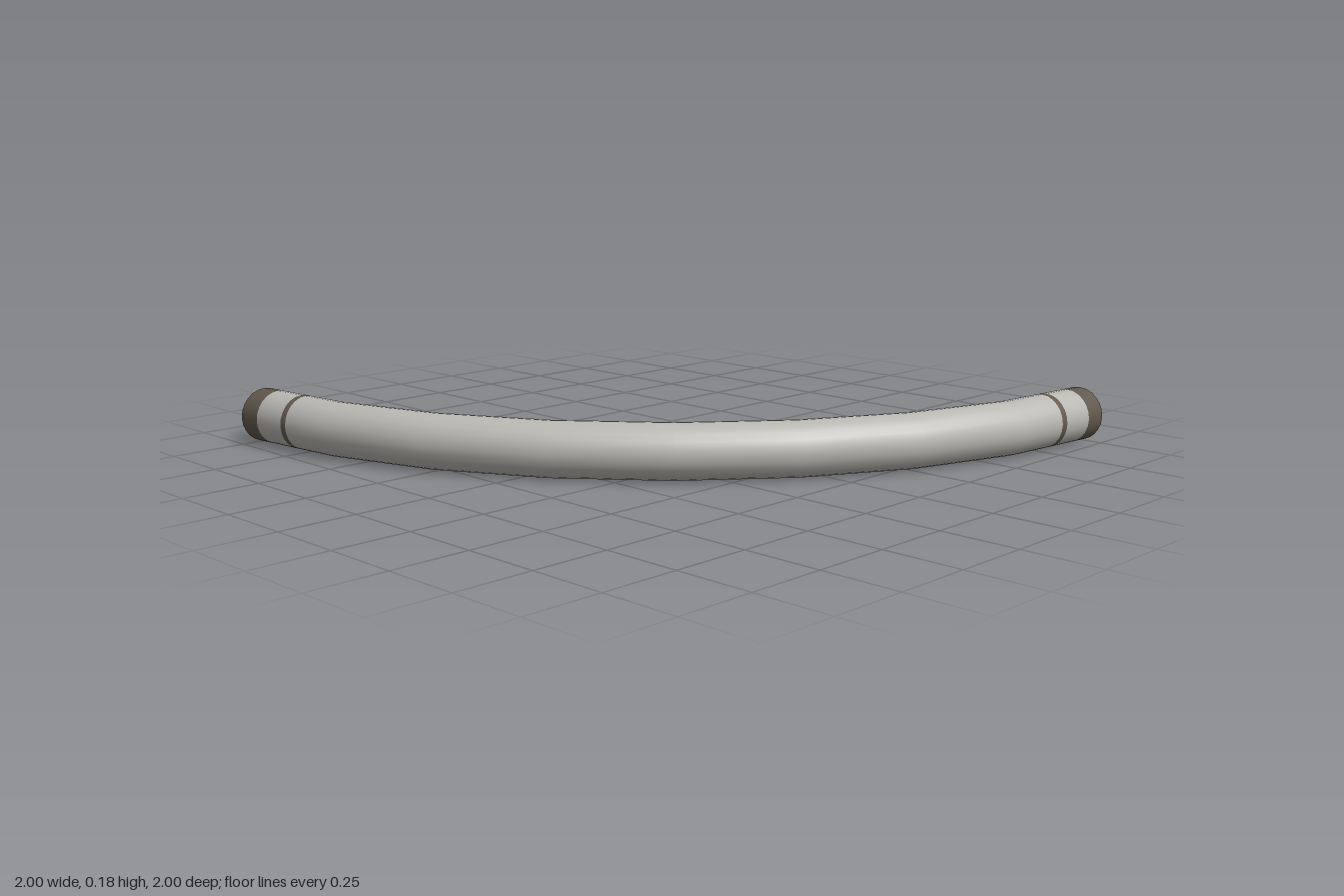
import * as THREE from 'three';

const BEND = 1.912, RADIUS = 0.088, SIDES = 24, STEPS = 8;
const STEP = Math.PI / 2 / STEPS;

// Point on the pipe surface: u counts bend steps (straight within a step), p goes round the section
function surfacePoint(u, p) {
  const i = Math.min(Math.floor(u), STEPS - 1);
  const at = (k) => {
    const d = BEND + RADIUS * Math.cos(p);
    return new THREE.Vector3(-1 + d * Math.sin(k * STEP), RADIUS + RADIUS * Math.sin(p), -1 + d * Math.cos(k * STEP));
  };
  return at(i).lerp(at(i + 1), u - i);
}

// Smooth open tube through a list of stations along the bend
function tubeSection(stations) {
  const pos = [], nor = [], idx = [];
  const row = SIDES + 1;
  stations.forEach((u, s) => {
    for (let j = 0; j <= SIDES; j++) {
      const p = (j / SIDES) * Math.PI * 2, a = u * STEP;
      pos.push(...surfacePoint(u, p).toArray());
      nor.push(Math.cos(p) * Math.sin(a), Math.sin(p), Math.cos(p) * Math.cos(a));
      if (s < stations.length - 1 && j < SIDES) {
        const k = s * row + j;
        idx.push(k, k + row, k + row + 1, k, k + row + 1, k + 1);
      }
    }
  });
  const g = new THREE.BufferGeometry();
  g.setAttribute('position', new THREE.Float32BufferAttribute(pos, 3));
  g.setAttribute('normal', new THREE.Float32BufferAttribute(nor, 3));
  g.setIndex(idx);
  return g;
}

export function createModel() {
  const group = new THREE.Group();
  group.name = 'curvedPipe';
  const grey = new THREE.MeshStandardMaterial({ color: 0xbab8b3 });
  grey.name = 'pipeGrey';
  const brown = new THREE.MeshStandardMaterial({ color: 0x63594d });
  brown.name = 'bandBrown';

  const add = (name, geometry, material) => {
    const mesh = new THREE.Mesh(geometry, material);
    mesh.name = name;
    group.add(mesh);
    return mesh;
  };

  // Pipe body, end collars and thin rings
  add('rightEndBand', tubeSection([0, 0.2]), brown);
  add('rightCollar', tubeSection([0.2, 0.51]), grey);
  add('rightRing', tubeSection([0.51, 0.57]), brown);
  add('pipeBody', tubeSection([0.57, 1, 2, 3, 4, 5, 6, 7, 7.47]), grey);
  add('backRing', tubeSection([7.47, 7.53]), brown);
  add('backCollar', tubeSection([7.53, 7.82]), grey);
  add('backEndBand', tubeSection([7.82, 8]), brown);

  // Flat end caps
  const disc = new THREE.CircleGeometry(RADIUS, SIDES);
  const rightCap = add('rightEndCap', disc, grey);
  rightCap.position.set(-1, RADIUS, BEND - 1);
  rightCap.rotation.y = -Math.PI / 2;
  const backCap = add('backEndCap', disc, grey);
  backCap.position.set(BEND - 1, RADIUS, -1);
  backCap.rotation.y = Math.PI;

  return group;
}
